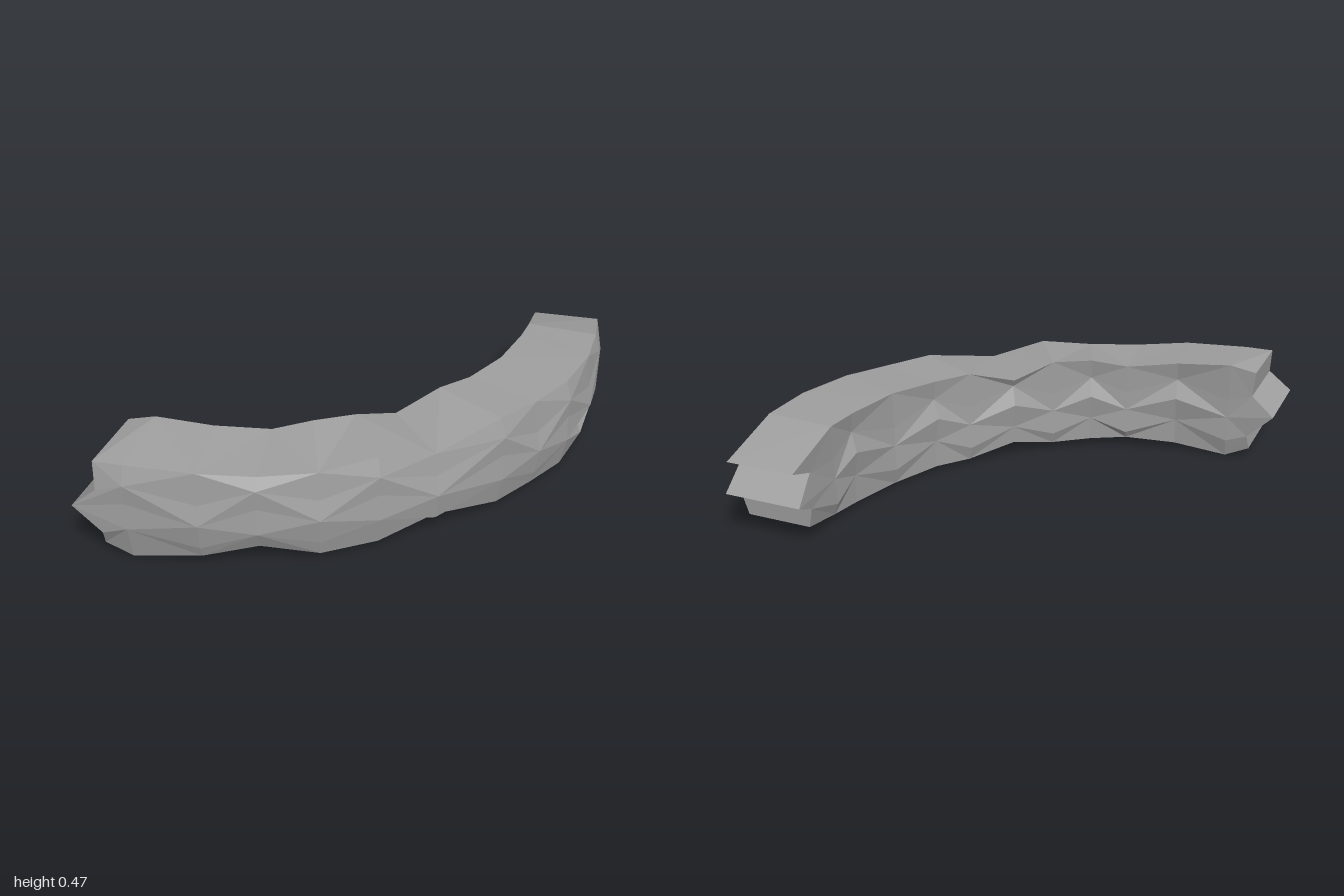
import * as THREE from 'three';

// Stations along the bend: outer x, z, inner x, z, top y (outer, inner), bottom y (outer, inner)
const STATIONS = [
  [-0.90, 0.98, -0.89, 0.60, 0.45, 0.45, 0.05, 0.05],
  [-0.77, 0.98, -0.77, 0.59, 0.45, 0.475, 0.00, 0.00],
  [-0.47, 0.955, -0.52, 0.57, 0.44, 0.455, 0.035, 0.03],
  [-0.24, 0.89, -0.29, 0.50, 0.42, 0.43, 0.08, 0.05],
  [0.00, 0.80, -0.13, 0.44, 0.42, 0.46, 0.02, 0.04],
  [0.22, 0.67, 0.03, 0.35, 0.45, 0.46, 0.03, 0.03],
  [0.43, 0.51, 0.17, 0.20, 0.395, 0.40, 0.09, 0.07],
  [0.67, 0.25, 0.33, 0.05, 0.455, 0.465, 0.025, 0.02],
  [0.80, 0.06, 0.44, -0.08, 0.45, 0.46, 0.03, 0.02],
  [0.91, -0.14, 0.55, -0.29, 0.455, 0.465, 0.02, 0.01],
  [0.985, -0.40, 0.61, -0.54, 0.455, 0.46, 0.04, 0.02],
  [1.00, -0.65, 0.63, -0.68, 0.45, 0.455, 0.03, 0.03],
  [0.99, -0.88, 0.63, -0.88, 0.37, 0.37, 0.07, 0.07],
];
const OUTER = [0.91, 0.98, 1, 0.985, 0.91]; // width fraction, top to bottom
const INNER = [0.03, 0.04, 0, 0.02, 0.07];
const LAST = STATIONS.length - 1;

// Ten-point cross-section: outer side downwards, then inner side upwards
function section([ox, oz, ix, iz, topO, topI, botO, botI], s) {
  const start = s === 0, end = s === LAST;
  const stagger = start || end ? 0 : (s % 2 ? 0.035 : -0.035);
  const mids = end ? [0.32, 0.21, 0.16] : [0.33, 0.24, 0.12];
  const point = (side, j) => {
    const outer = side === 'outer';
    let t = (outer ? OUTER : INNER)[j];
    if (j === 3 && s === 10 && outer) t -= 0.09; // chipped dent
    if (!start && !end && j > 0 && j < 4) {
      const recess = (s + j) % 2 ? 0.035 : 0;
      t += outer ? -recess : recess;
    }
    const y = j === 0 ? (outer ? topO : topI)
      : j === 4 ? (outer ? botO : botI)
        : mids[j - 1] + (outer ? stagger : -stagger);
    const p = new THREE.Vector3(ix + (ox - ix) * t, y, iz + (oz - iz) * t);
    // Jagged ends
    if (start) p.x += [0, 0.01, -0.1, 0.02, 0.01][j];
    if (end) p.z += [-0.11, 0.02, -0.10, 0, 0][j];
    return p;
  };
  const ring = [];
  for (let j = 0; j < 5; j++) ring.push(point('outer', j));
  for (let j = 4; j >= 0; j--) ring.push(point('inner', j));
  return ring;
}

// Flat-shaded geometry from a list of triangle corners
function facets(points) {
  const geometry = new THREE.BufferGeometry().setFromPoints(points);
  geometry.computeVertexNormals();
  return geometry;
}

export function createModel() {
  const model = new THREE.Group();
  model.name = 'curvedRockWall';
  const stone = new THREE.MeshStandardMaterial({ color: 0xa0a0a0, flatShading: true });
  stone.name = 'grey stone';
  const add = (name, points) => {
    const mesh = new THREE.Mesh(facets(points), stone);
    mesh.name = name;
    model.add(mesh);
  };
  const rings = STATIONS.map(section);

  // Faceted skin swept along the bend
  const skin = [];
  for (let s = 0; s < LAST; s++) {
    for (let k = 0; k < 10; k++) {
      const n = (k + 1) % 10;
      const a = rings[s][k], b = rings[s][n], c = rings[s + 1][k], d = rings[s + 1][n];
      if ((s + k) % 2) skin.push(a, b, c, b, d, c);
      else skin.push(a, b, d, a, d, c);
    }
  }
  add('rockBody', skin);

  // Ridged broken faces closing both ends
  const cap = (ring, flip) => {
    const points = [];
    for (let j = 0; j < 4; j++) {
      const o = ring[j], o2 = ring[j + 1], i = ring[9 - j], i2 = ring[8 - j];
      if (flip) points.push(o, o2, i, i, o2, i2);
      else points.push(o, i, o2, i, i2, o2);
    }
    return points;
  };
  add('rightBrokenEnd', cap(rings[0], false));
  add('backBrokenEnd', cap(rings[LAST], true));
  return model;
}
